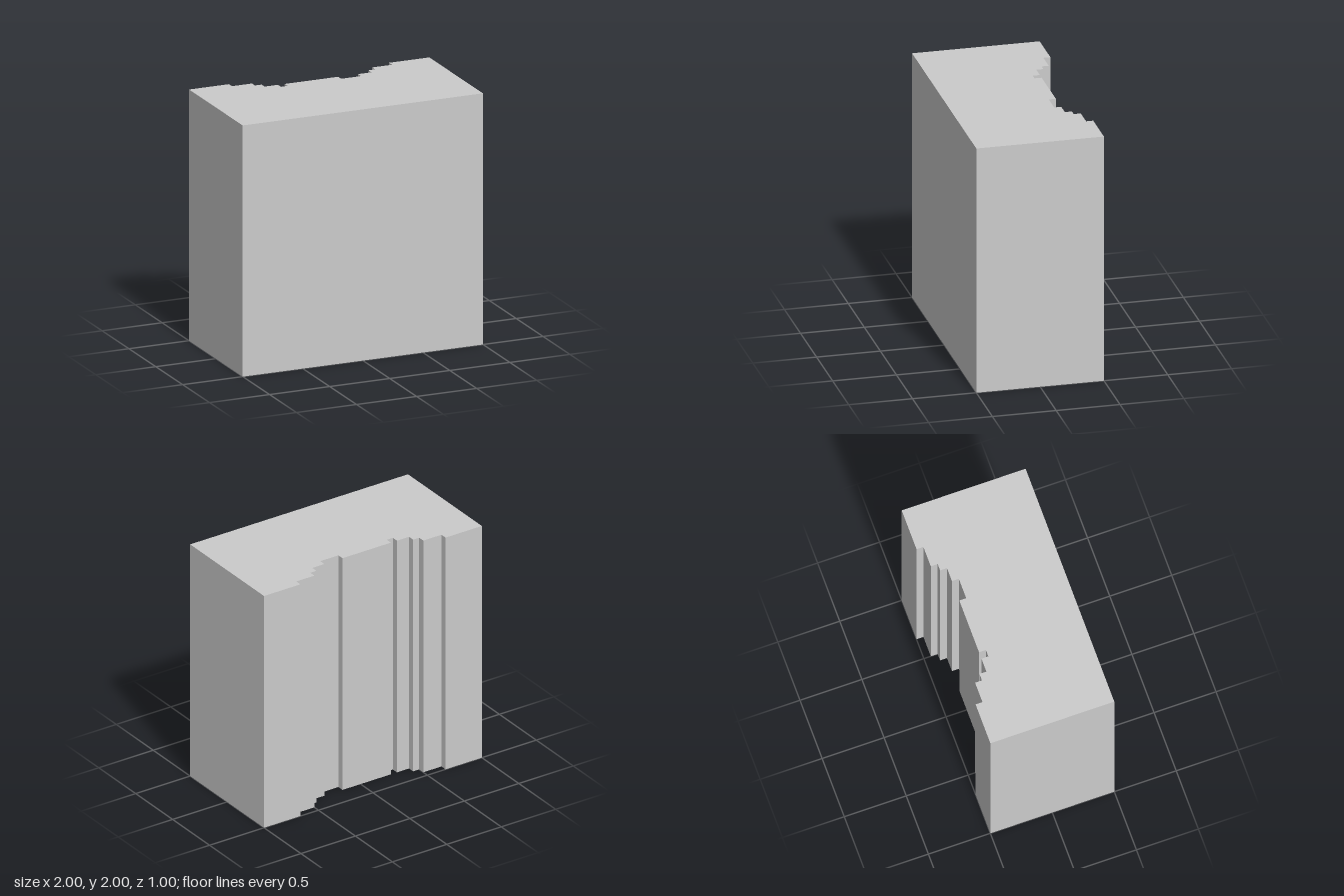
import * as THREE from 'three';

const UNIT = 1 / 18; // the stepped back follows a fine square grid

export function createModel() {
  const group = new THREE.Group();
  group.name = 'steppedBlock';

  // Steps of the back face from right to left: [end x, depth behind centre], in grid units
  const steps = [
    [-12, 9], [-9, 8], [-8, 7], [-6, 6], [-5, 5], [3, 6],
    [6, 5], [8, 6], [9, 7], [12, 8], [18, 9],
  ];

  // Plan outline, with the back towards +y of the shape
  const outline = [[18, -9]];
  let endX = 18;
  for (let i = steps.length - 1; i >= 0; i--) {
    const startX = i > 0 ? steps[i - 1][0] : -18;
    outline.push([endX, steps[i][1]], [startX, steps[i][1]]);
    endX = startX;
  }
  outline.push([-18, -9]);
  const plan = new THREE.Shape(
    outline.map(([x, y]) => new THREE.Vector2(x * UNIT, y * UNIT)));

  // Raise the plan to full height
  const geometry = new THREE.ExtrudeGeometry(plan, { depth: 2, bevelEnabled: false });
  geometry.rotateX(-Math.PI / 2);

  const block = new THREE.Mesh(
    geometry, new THREE.MeshStandardMaterial({ color: 0xcccccc, flatShading: true }));
  block.name = 'block';
  group.add(block);
  return group;
}
